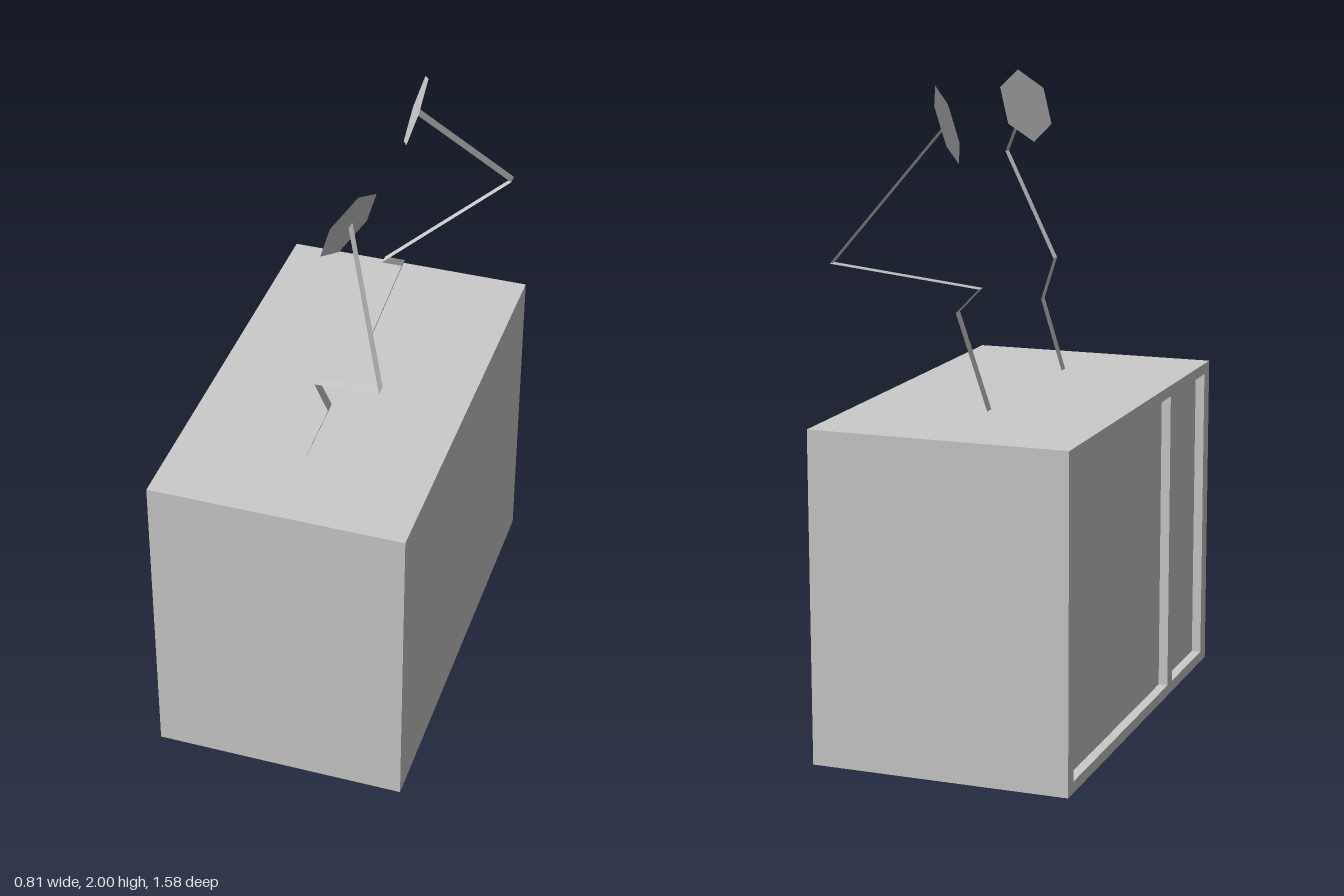
import * as THREE from 'three';

const solid = new THREE.MeshStandardMaterial({ color: 0xcccccc, flatShading: true });
const thin = new THREE.MeshStandardMaterial({ color: 0xcccccc, flatShading: true, side: THREE.DoubleSide });

const X = 0.405, H = 1.03, BACK = -0.79, FRONT = 0.62, DEPTH = 0.03;

function add(group, name, geometry, material) {
  const mesh = new THREE.Mesh(geometry, material);
  mesh.name = name;
  group.add(mesh);
  return mesh;
}

// closed rectangle outline in the (z, y) plane
function rect(PathType, z0, z1, y0, y1) {
  return new PathType([[z0, y0], [z1, y0], [z1, y1], [z0, y1]].map(p => new THREE.Vector2(...p)));
}

// flat strip following a bent path, with its width along z
function ribbon(points, width) {
  const pos = [], index = [];
  points.forEach(([x, y, z], i) => {
    pos.push(x, y, z - width / 2, x, y, z + width / 2);
    if (i > 0) {
      const a = 2 * i - 2;
      index.push(a, a + 1, a + 2, a + 1, a + 3, a + 2);
    }
  });
  const g = new THREE.BufferGeometry();
  g.setAttribute('position', new THREE.Float32BufferAttribute(pos, 3));
  g.setIndex(index);
  g.computeVertexNormals();
  return g;
}

// flat hexagon with one corner pointing along u, facing n
function hexagon(center, u, n, radius) {
  const w = new THREE.Vector3(...n).normalize();
  const a = new THREE.Vector3(...u).projectOnPlane(w).normalize();
  const b = w.clone().cross(a);
  return new THREE.CircleGeometry(radius, 6)
    .applyMatrix4(new THREE.Matrix4().makeBasis(a, b, w).setPosition(...center));
}

export function createModel() {
  const model = new THREE.Group();
  model.name = 'cabinetWithArms';

  // cabinet: solid body plus a frame with two openings on the -x side
  const cabinet = new THREE.Group();
  cabinet.name = 'cabinet';
  model.add(cabinet);
  add(cabinet, 'body', new THREE.BoxGeometry(2 * X - DEPTH, H, FRONT - BACK), solid)
    .position.set(DEPTH / 2, H / 2, (FRONT + BACK) / 2);

  const outline = rect(THREE.Shape, BACK, FRONT, 0, H);
  for (const [z0, z1] of [[-0.745, 0.185], [0.235, 0.565]]) {
    outline.holes.push(rect(THREE.Path, z0, z1, 0.035, H - 0.035));
  }
  const frame = new THREE.ExtrudeGeometry(outline, { depth: DEPTH, bevelEnabled: false });
  frame.rotateY(-Math.PI / 2);
  add(cabinet, 'panelFrame', frame, solid).position.x = DEPTH - X;

  // two jointed arms, each carrying a tilted hexagonal plate
  const arms = [
    {
      name: 'frontArm',
      path: [[0, H, 0.309], [0.085, 1.255, 0.347], [0.06, 1.383, 0.397], [0.37, 1.685, 0.773], [0.135, 1.885, 0.307]],
      center: [0.13, 1.886, 0.31], u: [0.037, 0.114, 0.024], n: [-0.88, 0.35, -0.32],
    },
    {
      name: 'backArm',
      path: [[0, H, -0.363], [0.1, 1.325, -0.363], [0.06, 1.385, -0.276], [0.37, 1.505, -0.671], [0.135, 1.885, -0.363]],
      center: [0.13, 1.886, -0.365], u: [0.037, 0.114, 0], n: [-0.93, 0.30, 0.20],
    },
  ];
  for (const { name, path, center, u, n } of arms) {
    const arm = new THREE.Group();
    arm.name = name;
    model.add(arm);
    add(arm, 'jointedStrip', ribbon(path, 0.035), thin);
    add(arm, 'plate', hexagon(center, u, n, 0.121), thin);
  }
  return model;
}
